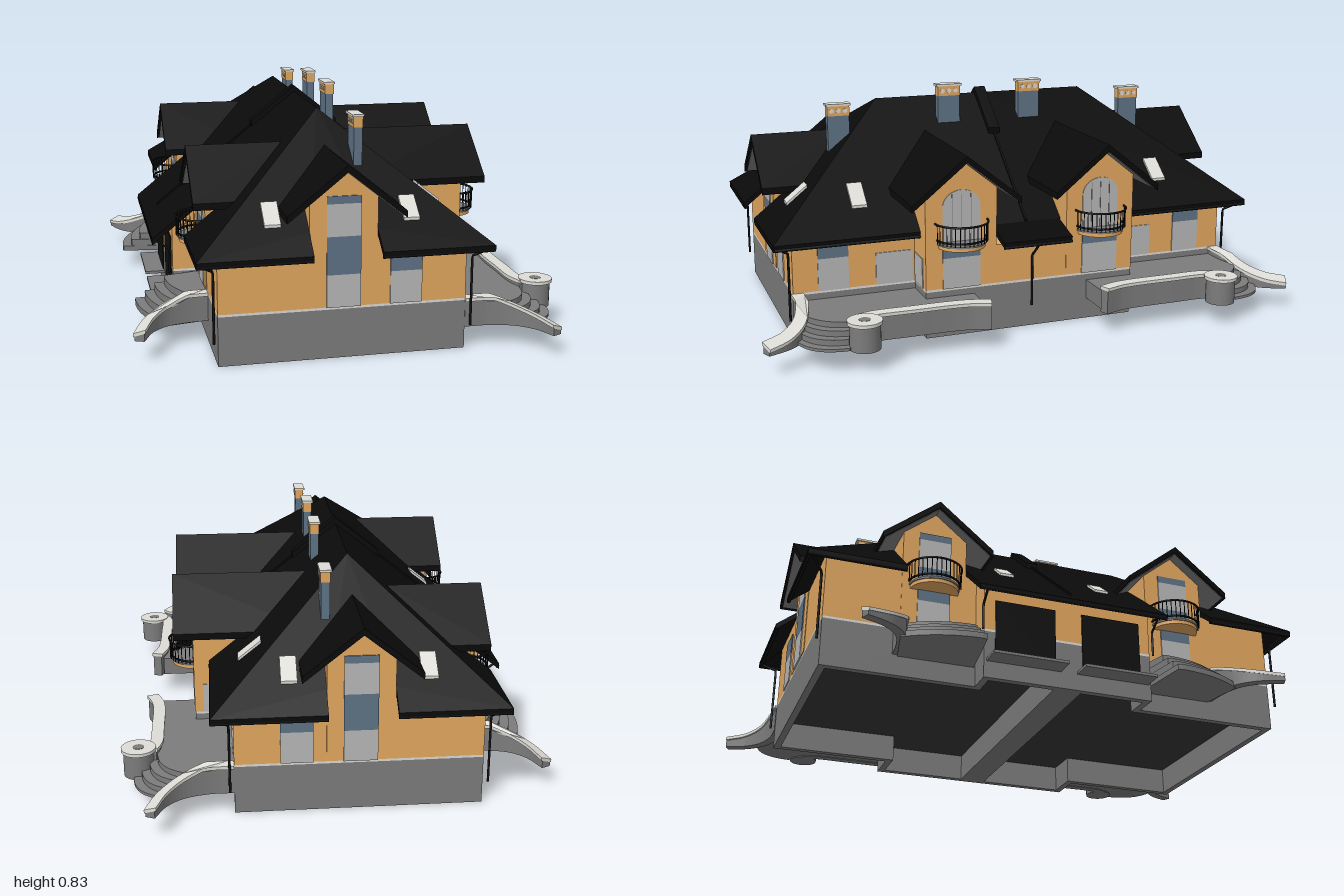
import * as THREE from 'three';

const mat = (color) => new THREE.MeshStandardMaterial({ color, side: THREE.DoubleSide });
const M = {
  wall: mat(0xe3a860), roof: mat(0x0a0a0a), stone: mat(0x7c7c7c), cap: mat(0xdddcd6),
  glass: mat(0xb8b8b8), slate: mat(0x5f7386), floor: mat(0x383838), iron: mat(0x101010),
};

function add(parent, name, geo, material, x = 0, y = 0, z = 0) {
  const m = new THREE.Mesh(geo, material);
  m.name = name;
  m.position.set(x, y, z);
  parent.add(m);
  return m;
}

// Box given by its limits
function box(parent, name, material, x0, x1, y0, y1, z0, z1) {
  return add(parent, name, new THREE.BoxGeometry(x1 - x0, y1 - y0, z1 - z0), material,
    (x0 + x1) / 2, (y0 + y1) / 2, (z0 + z1) / 2);
}

// Solid over a plan outline of [x, z] points; bottom and top may be functions of (x, z)
function plan(parent, name, material, pts, bottom, top, hole) {
  const v2 = (list) => list.map(([x, z]) => new THREE.Vector2(x, -z));
  const shape = new THREE.Shape(v2(pts));
  if (hole) shape.holes.push(new THREE.Path(v2(hole)));
  const geo = new THREE.ExtrudeGeometry(shape, { depth: 1, bevelEnabled: false });
  geo.rotateX(-Math.PI / 2);
  const p = geo.attributes.position;
  for (let i = 0; i < p.count; i++) {
    const f = p.getY(i) > 0.5 ? top : bottom;
    p.setY(i, typeof f === 'function' ? f(p.getX(i), p.getZ(i)) : f);
  }
  geo.computeVertexNormals();
  return add(parent, name, geo, material);
}

const rect = (x0, x1, z0, z1) => [[x0, z0], [x1, z0], [x1, z1], [x0, z1]];

// Outline of a band of given width along a smooth plan path
function ribbon(pts, width) {
  const c = new THREE.CatmullRomCurve3(pts.map(([x, z]) => new THREE.Vector3(x, 0, z)));
  const a = [], b = [];
  for (let i = 0; i <= 20; i++) {
    const p = c.getPoint(i / 20), t = c.getTangent(i / 20);
    a.push([p.x - t.z * width / 2, p.z + t.x * width / 2]);
    b.unshift([p.x + t.z * width / 2, p.z - t.x * width / 2]);
  }
  return a.concat(b);
}

// Garden wall with a pale coping
function gardenWall(parent, pts, top) {
  plan(parent, 'gardenWall', M.stone, ribbon(pts, 0.034), 0.075, (x, z) => top(x, z) - 0.012);
  plan(parent, 'wallCoping', M.cap, ribbon(pts, 0.044), (x, z) => top(x, z) - 0.012, top);
}

// Round pipe through straight segments
function pipe(parent, name, pts, r = 0.0045) {
  const path = new THREE.CurvePath();
  const v = pts.map((p) => new THREE.Vector3(...p));
  for (let i = 1; i < v.length; i++) path.add(new THREE.LineCurve3(v[i - 1], v[i]));
  add(parent, name, new THREE.TubeGeometry(path, 24, r, 6), M.iron);
}

// Height of the hipped main roof
const RX = -0.0625, RZ = 0.4225;
const roofY = (x, z) => 0.777 - 0.8 * Math.max(Math.abs(x - RX), Math.abs(z) - RZ);
const roofPanel = (g, pts, f = roofY) => plan(g, 'roofPanel', M.roof, pts, (x, z) => f(x, z) - 0.022, f);

function balcony(parent, w, d) {
  const arc = (k, y, n) => Array.from({ length: n + 1 }, (_, i) =>
    new THREE.Vector3(-w * k * Math.cos(Math.PI * i / n), y, d * k * Math.sin(Math.PI * i / n)));
  const outline = (k) => arc(k, 0, 20).map((p) => [p.x, p.z]);
  plan(parent, 'balconyBase', M.wall, outline(0.86), 0.33, 0.343);
  plan(parent, 'balconySlab', M.stone, outline(0.9), 0.343, 0.35);
  for (const [y, k] of [[0.36, 0.9], [0.42, 0.97]]) {
    const curve = new THREE.CatmullRomCurve3(arc(k, y, 16));
    add(parent, 'balconyRail', new THREE.TubeGeometry(curve, 32, 0.004, 5), M.iron);
  }
  for (const p of arc(0.95, 0.385, 18)) {
    add(parent, 'baluster', new THREE.CylinderGeometry(0.0018, 0.0018, 0.07, 5), M.iron, p.x, p.y, p.z);
  }
}

// Gabled dormer, its wall in the local plane z = 0 facing +z
function dormer(parent, x, z, turn, w, overhang, depth, arched, withBalcony) {
  const g = new THREE.Group();
  g.name = 'dormer';
  g.position.set(x, 0, z);
  g.rotation.y = turn;
  parent.add(g);
  const prism = (name, material, pts, z0, z1) => add(g, name, new THREE.ExtrudeGeometry(
    new THREE.Shape(pts.map((p) => new THREE.Vector2(...p))),
    { depth: z1 - z0, bevelEnabled: false }), material, 0, 0, z0);
  const chevron = (h, top, t) => [[-h, top - 0.8 * h], [-h, top - t - 0.8 * h], [0, top - t],
    [h, top - t - 0.8 * h], [h, top - 0.8 * h], [0, top]];
  prism('gableWall', M.wall, [[-w, 0.18], [w, 0.18], [w, 0.64 - 0.8 * w], [0, 0.64], [-w, 0.64 - 0.8 * w]],
    -depth, 0.002);
  prism('dormerRoof', M.roof, chevron(0.2, 0.668, 0.024), -depth, overhang);
  prism('dormerSoffit', M.stone, chevron(0.19, 0.645, 0.004), -depth, overhang - 0.01);
  const hw = arched ? 0.07 : 0.058;
  if (arched) {
    const s = new THREE.Shape();
    s.moveTo(-hw, 0.35);
    s.lineTo(hw, 0.35);
    s.lineTo(hw, 0.475);
    s.absellipse(0, 0.475, hw, 0.06, 0, Math.PI, false);
    add(g, 'archedWindow', new THREE.ExtrudeGeometry(s, { depth: 0.005, bevelEnabled: false }), M.glass);
    for (const mx of [-0.035, 0, 0.035]) box(g, 'mullion', M.stone, mx - 0.001, mx + 0.001, 0.35, 0.52, 0, 0.007);
  } else {
    box(g, 'upperWindow', M.glass, -hw, hw, 0.42, 0.53, 0, 0.006);
    box(g, 'windowHead', M.slate, -hw, hw, 0.53, 0.556, 0, 0.006);
  }
  box(g, 'spandrel', M.slate, -hw, hw, 0.29, arched ? 0.345 : 0.42, 0, 0.006);
  box(g, 'lowerWindow', M.glass, -hw, hw, 0.178, 0.29, 0, 0.006);
  if (withBalcony) balcony(g, 0.1, 0.094);
}

function chimney(g, z0, z1, low, top) {
  const zm = (z0 + z1) / 2;
  box(g, 'chimneyStack', M.slate, 0.02, 0.05, low, top - 0.045, z0, z1);
  box(g, 'chimneyHead', M.wall, 0.018, 0.052, top - 0.045, top - 0.008, z0 - 0.001, z1 + 0.001);
  box(g, 'chimneyCap', M.cap, 0.013, 0.055, top - 0.008, top, z0 - 0.006, z1 + 0.006);
  for (const dz of [-0.026, 0, 0.026]) {
    const vent = add(g, 'chimneyVent', new THREE.CylinderGeometry(0.009, 0.009, 0.037, 10), M.cap, 0.035, top - 0.026, zm + dz);
    vent.rotation.z = Math.PI / 2;
  }
}

// One dwelling, occupying z >= 0
function createHalf() {
  const g = new THREE.Group();
  g.name = 'dwelling';

  // Plinth, floor and walls
  const outline = [[-0.575, 0], [-0.575, 0.31], [-0.485, 0.31], [-0.485, 0.845], [0.36, 0.845],
    [0.36, 0.4], [0.49, 0.4], [0.49, 0]];
  const inner = [[-0.55, 0.05], [-0.55, 0.285], [-0.46, 0.285], [-0.46, 0.82], [0.335, 0.82],
    [0.335, 0.375], [0.465, 0.375], [0.465, 0.05]];
  plan(g, 'plinth', M.stone, outline, 0, 0.17, inner);
  plan(g, 'floorSlab', M.floor, inner, 0.1, 0.17);
  plan(g, 'plinthTrim', M.cap, outline, 0.17, 0.178);
  plan(g, 'walls', M.wall, outline, 0.178, (x, z) => Math.min(0.415, roofY(x, z) - 0.015));

  // Main roof with gaps in the eaves for the dormers
  roofPanel(g, [[RX, 0], [RX, RZ], [0.435, 0.92], [0.435, 0]]);
  roofPanel(g, [[0.435, 0], [0.56, 0], [0.56, 0.13], [0.435, 0.13]], (x) => 0.379 - 0.28 * (x - 0.435));
  roofPanel(g, [[RX, 0], [RX, RZ], [-0.56, 0.92], [-0.56, 0.58], [-0.485, 0.58], [-0.485, 0.35],
    [-0.65, 0.35], [-0.65, 0]]);
  roofPanel(g, [[RX, RZ], [0.435, 0.92], [0.05, 0.92], [0.05, 0.845], [-0.18, 0.845], [-0.18, 0.92], [-0.56, 0.92]]);
  for (const [a, b] of [[-0.6, RX], [RX, 0.435]]) {
    plan(g, 'partyWallCoping', M.roof, rect(a, b, 0, 0.004), roofY, (x, z) => roofY(x, z) + 0.008);
  }
  for (const [a, b] of [[-0.23, RX], [RX, 0.105]]) {
    plan(g, 'ridgeCoping', M.roof, rect(a, b, 0, 0.022), roofY, (x, z) => roofY(x, z) + 0.023);
  }

  // Dormers on the end, the terrace side and the entrance side
  dormer(g, -0.065, 0.845, 0, 0.115, 0.055, 0.295, false, false);
  dormer(g, 0.49, 0.268, Math.PI / 2, 0.1325, 0.07, 0.42, true, true);
  dormer(g, -0.485, 0.465, -Math.PI / 2, 0.115, 0.052, 0.29, false, true);

  // Skylights
  for (const r of [rect(-0.325, -0.27, 0.75, 0.825), rect(0.145, 0.2, 0.75, 0.825),
    rect(0.255, 0.335, 0.565, 0.62), rect(-0.46, -0.39, 0.16, 0.212)]) {
    plan(g, 'skylight', M.cap, r, (x, z) => roofY(x, z) - 0.01, (x, z) => roofY(x, z) + 0.01);
  }
  chimney(g, 0.12, 0.207, 0.6, 0.835);
  chimney(g, 0.553, 0.635, 0.5, 0.784);

  // Ground-floor windows and doors
  box(g, 'endWindow', M.glass, 0.095, 0.205, 0.178, 0.29, 0.84, 0.849);
  box(g, 'endWindowPanel', M.slate, 0.095, 0.205, 0.29, 0.368, 0.84, 0.849);
  box(g, 'sideWindow', M.glass, 0.355, 0.364, 0.178, 0.295, 0.645, 0.755);
  box(g, 'sideWindowPanel', M.slate, 0.355, 0.364, 0.295, 0.368, 0.645, 0.755);
  box(g, 'terraceDoor', M.glass, 0.355, 0.364, 0.178, 0.295, 0.41, 0.545);
  box(g, 'bayDoor', M.glass, 0.368, 0.46, 0.178, 0.287, 0.395, 0.404);
  box(g, 'garageDoor', M.iron, -0.579, -0.57, 0.07, 0.29, 0.05, 0.27);
  box(g, 'driveway', M.stone, -0.65, -0.575, 0.06, 0.07, 0.03, 0.3);

  // Gutters and downpipes
  for (const [a, b] of [[[0.431, 0.362, 0.4], [0.431, 0.362, 0.915]], [[0.555, 0.326, 0], [0.555, 0.326, 0.13]],
    [[-0.645, 0.295, 0], [-0.645, 0.295, 0.35]], [[0.05, 0.362, 0.914], [0.43, 0.362, 0.914]],
    [[-0.18, 0.362, 0.914], [-0.555, 0.362, 0.914]], [[-0.554, 0.362, 0.58], [-0.554, 0.362, 0.915]]]) {
    pipe(g, 'gutter', [a, b], 0.007);
  }
  pipe(g, 'downpipe', [[0.43, 0.37, 0.91], [0.375, 0.33, 0.86], [0.375, 0.085, 0.86]]);
  pipe(g, 'downpipe', [[-0.555, 0.37, 0.91], [-0.5, 0.33, 0.86], [-0.5, 0.085, 0.86]]);
  pipe(g, 'downpipe', [[-0.645, 0.3, 0.32], [-0.588, 0.26, 0.318], [-0.588, 0.17, 0.318]]);
  pipe(g, 'downpipe', [[0.555, 0.32, 0], [0.498, 0.27, 0], [0.498, 0.08, 0]]);

  // Terrace with fan-shaped steps, curved walls and a round pillar
  const bend = (a, b, c) => new THREE.QuadraticBezierCurve(
    ...[a, b, c].map((p) => new THREE.Vector2(...p))).getPoints(14).map((p) => [p.x, p.y]);
  for (let i = 0; i < 4; i++) {
    const k = 0.027 * i;
    plan(g, 'terraceStep', M.stone, [[0.36, 0.4], [0.49, 0.4], [0.49, 0.22], [0.63, 0.22], [0.625, 0.67],
      ...bend([0.62 + k, 0.68 + 0.6 * k], [0.615 + k, 0.805 + 0.7 * k], [0.49 + k, 0.84 + 0.5 * k]),
      [0.45, 0.83], [0.36, 0.83]],
      0.078, 0.148 - 0.02 * i);
  }
  gardenWall(g, [[0.655, 0.215], [0.633, 0.28], [0.625, 0.35], [0.624, 0.5], [0.624, 0.62], [0.64, 0.68]], () => 0.172);
  gardenWall(g, [[0.36, 0.83], [0.45, 0.832], [0.54, 0.86], [0.6, 0.915], [0.635, 0.99]],
    (x) => Math.min(0.177, 0.177 - 0.4 * (x - 0.46)));
  add(g, 'pillar', new THREE.CylinderGeometry(0.053, 0.053, 0.09, 28), M.stone, 0.685, 0.12, 0.672);
  add(g, 'pillarCoping', new THREE.CylinderGeometry(0.06, 0.06, 0.012, 28), M.cap, 0.685, 0.169, 0.672);
  add(g, 'pillarCentre', new THREE.CylinderGeometry(0.02, 0.02, 0.014, 20), M.stone, 0.685, 0.169, 0.672);

  // Entrance steps and their curved wall
  for (let i = 0; i < 4; i++) {
    const k = 0.035 * i;
    plan(g, 'entranceStep', M.stone, [[-0.485, 0.315], [-0.715 + k, 0.345],
      ...bend([-0.718 + k, 0.36], [-0.715 + k, 0.5], [-0.635 + k, 0.615 - 0.2 * k]), [-0.485, 0.585]],
      0.07, 0.09 + 0.026 * i);
  }
  gardenWall(g, [[-0.485, 0.585], [-0.56, 0.592], [-0.64, 0.617], [-0.695, 0.67], [-0.732, 0.755]],
    (x) => Math.min(0.177, 0.177 + 0.4 * (x + 0.56)));
  return g;
}

export function createModel() {
  const model = new THREE.Group();
  model.name = 'semiDetachedHouse';
  const half = createHalf();
  const mirrored = half.clone();
  mirrored.scale.z = -1;
  model.add(half, mirrored);
  return model;
}
